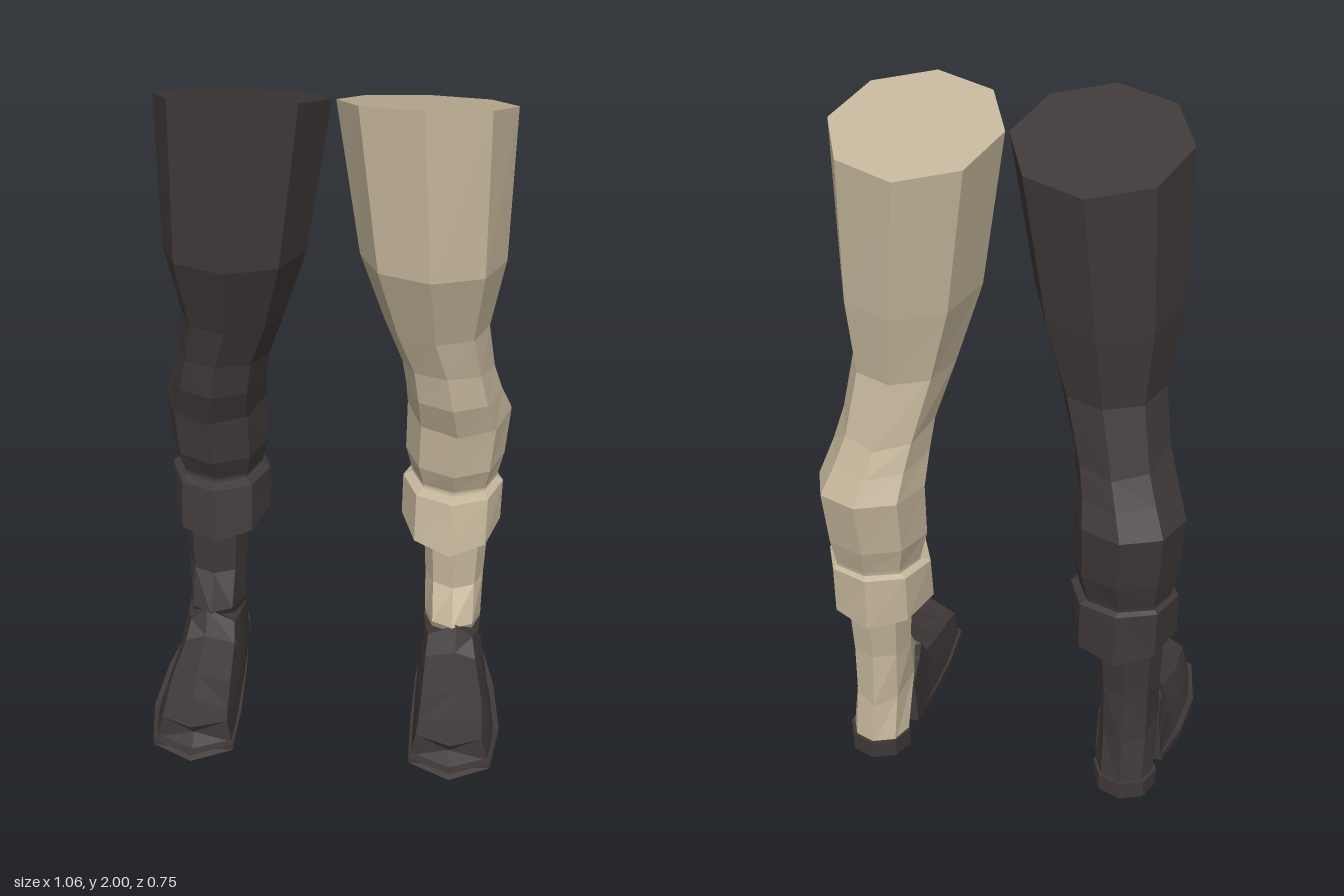
import * as THREE from 'three';

const tan = new THREE.MeshStandardMaterial({ color: 0xc2b499 });
tan.name = 'tan cloth';
const dark = new THREE.MeshStandardMaterial({ color: 0x3f3838 });
dark.name = 'dark leather';

// Closed faceted skin through a list of rings with equal point counts.
// side = -1 mirrors it in x and turns the faces round to match.
function loft(rings, side) {
  const pos = [];
  const tri = (a, b, c) => {
    for (const p of side > 0 ? [a, b, c] : [a, c, b]) pos.push(p[0] * side, p[1], p[2]);
  };
  const centre = (r) => [0, 1, 2].map((k) => r.reduce((s, p) => s + p[k], 0) / r.length);
  const n = rings[0].length;
  const first = rings[0], last = rings[rings.length - 1];
  const c0 = centre(first), c1 = centre(last);
  for (let k = 0; k < n; k++) {
    const m = (k + 1) % n;
    for (let i = 0; i < rings.length - 1; i++) {
      const a = rings[i], b = rings[i + 1];
      tri(a[k], a[m], b[m]);
      tri(a[k], b[m], b[k]);
    }
    tri(c0, first[m], first[k]);
    tri(c1, last[k], last[m]);
  }
  const g = new THREE.BufferGeometry();
  g.setAttribute('position', new THREE.Float32BufferAttribute(pos, 3));
  g.computeVertexNormals();
  return g;
}

// Eight-sided horizontal ring; front and back heights may differ,
// and drop lowers the front and back points below the sides.
function octagon([x0, x1, zBack, zFront, yFront, yBack = yFront, drop = 0]) {
  const ring = [];
  for (let i = 0; i < 8; i++) {
    const s = Math.sin((i * Math.PI) / 4), c = Math.cos((i * Math.PI) / 4);
    ring.push([
      (x0 + x1) / 2 + ((x1 - x0) / 2) * s,
      (yFront + yBack) / 2 + ((yFront - yBack) / 2) * c - drop * c * c,
      (zBack + zFront) / 2 + ((zFront - zBack) / 2) * c,
    ]);
  }
  return ring;
}

// Upright section of the boot upper; tip pushes its middle forward
function bootSection([z, x0, x1, yBottom, yShoulder, yTop, inset, tip = 0]) {
  const xm = (x0 + x1) / 2, ym = (yBottom + yShoulder) / 2;
  return [
    [x0, yBottom, z], [xm, yBottom, z + tip], [x1, yBottom, z],
    [x1 - inset * 0.4, ym, z], [x1 - inset, yShoulder, z], [xm, yTop, z + tip],
    [x0 + inset * 0.5, yShoulder, z], [x0 + inset * 0.2, ym, z],
  ];
}

function soleSection([z, x0, x1, y, tip = 0]) {
  const xm = (x0 + x1) / 2, t = y + 0.024;
  return [
    [x0, y, z], [xm, y, z + tip], [x1, y, z],
    [x1, t, z], [xm, t, z + tip], [x0, t, z],
  ];
}

// Rings: x0, x1, zBack, zFront, yFront, yBack, drop (bottom to top)
const LOWER = [
  [0.288, 0.458, -0.288, -0.13, 0.05],
  [0.285, 0.458, -0.268, 0.0, 0.275, 0.19],
  [0.28, 0.458, -0.255, -0.08, 0.365],
  [0.265, 0.465, -0.28, -0.085, 0.6],
];
const UPPER = [
  [0.225, 0.48, -0.32, -0.1, 0.68],
  [0.225, 0.48, -0.325, -0.1, 0.72],
  [0.205, 0.495, -0.35, -0.065, 0.8],
  [0.205, 0.505, -0.375, -0.053, 0.95, 0.965],
  [0.2, 0.472, -0.335, -0.008, 1.07, 1.03],
  [0.188, 0.445, -0.298, -0.001, 1.18, 1.1],
  [0.138, 0.422, -0.252, 0.035, 1.31, 1.28],
  [0.07, 0.454, -0.28, 0.122, 1.545, 1.48],
  [0.005, 0.455, -0.31, 0.113, 2.0, 1.86],
];
const CUFF = [
  [0.25, 0.465, -0.3, -0.07, 0.6],
  [0.2, 0.497, -0.345, -0.02, 0.572, 0.572, 0.03],
  [0.2, 0.497, -0.34, -0.06, 0.702],
  [0.225, 0.48, -0.32, -0.09, 0.712],
];
const HEEL = [
  [0.282, 0.468, -0.295, -0.12, 0.01],
  [0.282, 0.468, -0.295, -0.12, 0.066],
];
// Sections: z, x0, x1, yBottom, yShoulder, yTop, inset, tip (back to front)
const BOOT = [
  [-0.145, 0.276, 0.472, 0.05, 0.2, 0.2, 0.012],
  [-0.06, 0.272, 0.487, 0.04, 0.225, 0.235, 0.035],
  [-0.01, 0.27, 0.495, 0.03, 0.235, 0.28, 0.06],
  [0.03, 0.268, 0.503, 0.03, 0.18, 0.203, 0.055],
  [0.16, 0.268, 0.515, 0.02, 0.145, 0.17, 0.045],
  [0.25, 0.268, 0.508, 0.025, 0.13, 0.147, 0.035],
  [0.3, 0.27, 0.494, 0.035, 0.122, 0.135, 0.02, 0.047],
];
const SOLE = [
  [-0.14, 0.278, 0.475, 0.04],
  [0, 0.266, 0.512, 0.02],
  [0.165, 0.26, 0.53, 0.005],
  [0.315, 0.262, 0.505, 0.018, 0.057],
];

function makeLeg(name, side, cloth) {
  const leg = new THREE.Group();
  leg.name = name;
  const parts = [
    ['thighAndCalf', UPPER, octagon, cloth],
    ['shin', LOWER, octagon, cloth],
    ['cuff', CUFF, octagon, cloth],
    ['heel', HEEL, octagon, dark],
    ['boot', BOOT, bootSection, dark],
    ['sole', SOLE, soleSection, dark],
  ];
  for (const [part, rows, section, material] of parts) {
    const mesh = new THREE.Mesh(loft(rows.map(section), side), material);
    mesh.name = part;
    leg.add(mesh);
  }
  return leg;
}

export function createModel() {
  const model = new THREE.Group();
  model.name = 'legs';
  model.add(makeLeg('leftLeg', 1, tan), makeLeg('rightLeg', -1, dark));
  return model;
}
